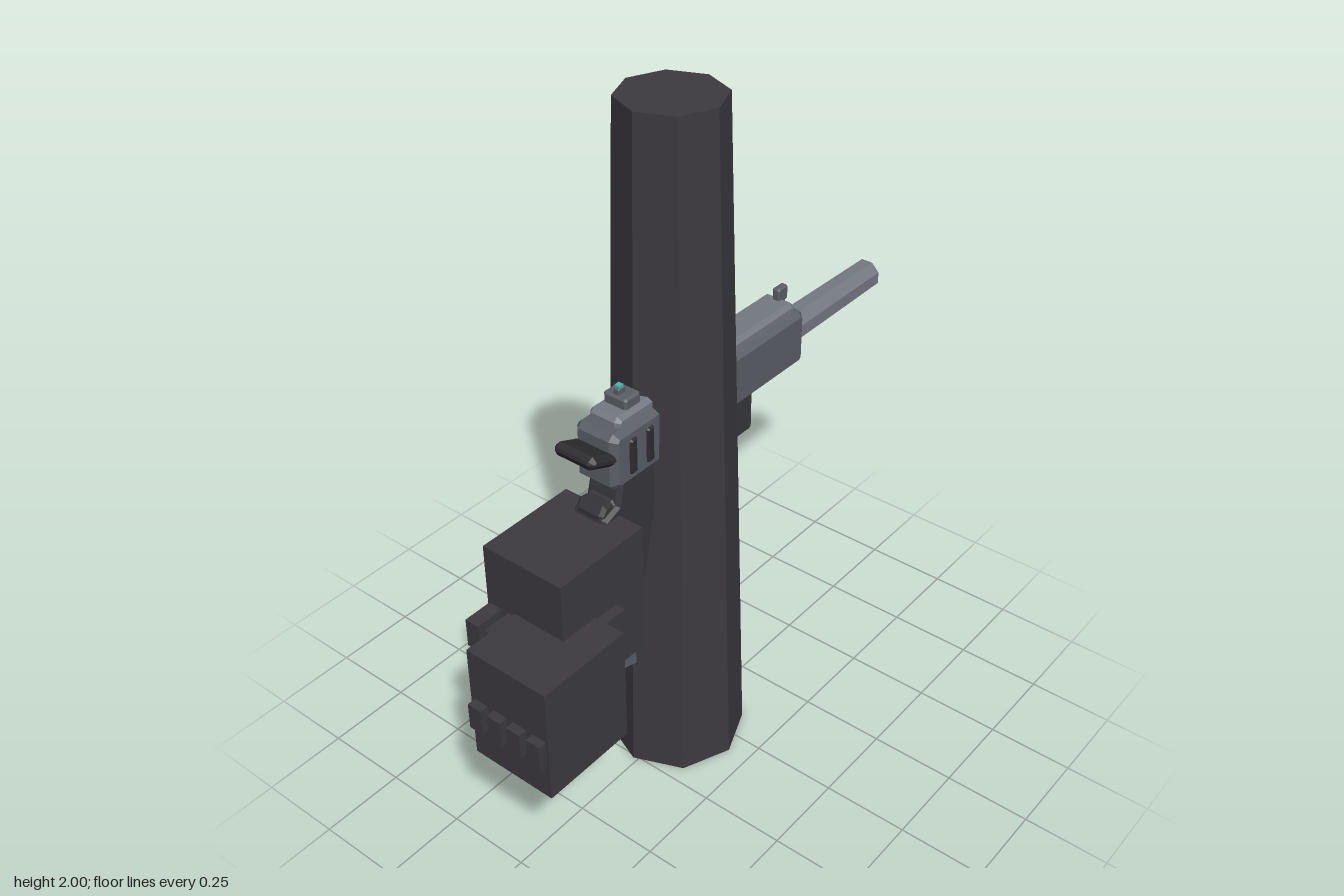
import * as THREE from 'three';

const mat = (name, color) => {
  const m = new THREE.MeshStandardMaterial({ color });
  m.name = name;
  return m;
};

export function createModel() {
  const root = new THREE.Group();
  root.name = 'pistolAndPillar';
  const stone = mat('charcoal', 0x3c3a3f);
  const grip = mat('dark grip', 0x36353a);
  const black = mat('near black', 0x2c2c30);
  const steel = mat('steel', 0x5a5f66);
  const pale = mat('pale steel', 0x747981);
  const teal = mat('teal', 0x4fb8ae);
  const CX = -0.017; // centre plane of the pistol

  const add = (parent, name, geometry, material) => {
    const mesh = new THREE.Mesh(geometry, material);
    mesh.name = name;
    parent.add(mesh);
    return mesh;
  };

  // Faceted cylinder
  const facets = (rTop, rBottom, h, turn = 0) => {
    const g = new THREE.CylinderGeometry(rTop, rBottom, h, 8).rotateY(turn).toNonIndexed();
    g.computeVertexNormals();
    return g;
  };

  // Side profile of [z, y] points, extruded across x with chamfered rims
  const profile = (points, width, bevel) => {
    const shape = new THREE.Shape(points.map(([z, y]) => new THREE.Vector2(z, y)));
    const depth = width - 2 * bevel;
    const g = new THREE.ExtrudeGeometry(shape, {
      depth, bevelEnabled: bevel > 0, bevelSize: bevel, bevelThickness: bevel,
      bevelOffset: -bevel, bevelSegments: 1,
    });
    return g.translate(0, 0, -depth / 2).rotateY(-Math.PI / 2);
  };

  // Box with cut corners, given by its z and y ranges
  const block = (z0, z1, y0, y1, width, c) => profile([
    [z0 + c, y0], [z1 - c, y0], [z1, y0 + c], [z1, y1 - c],
    [z1 - c, y1], [z0 + c, y1], [z0, y1 - c], [z0, y0 + c],
  ], width, c);

  // Plain box given by its ranges
  const box = (parent, name, [x0, x1], [y0, y1], [z0, z1], material) => {
    const m = add(parent, name, new THREE.BoxGeometry(x1 - x0, y1 - y0, z1 - z0), material);
    m.position.set((x0 + x1) / 2, (y0 + y1) / 2, (z0 + z1) / 2);
    return m;
  };

  // Tapered eight-sided pillar
  add(root, 'pillar', facets(0.14, 0.2, 2), stone).position.set(-0.015, 1, 0.06);

  // Pistol, pointing to the back
  const pistol = new THREE.Group();
  pistol.name = 'pistol';
  pistol.position.x = CX;
  root.add(pistol);

  const barrel = add(pistol, 'barrel', facets(0.046, 0.05, 0.445, Math.PI / 8), pale);
  barrel.rotation.x = -Math.PI / 2;
  barrel.position.set(0, 1.138, -0.6225);

  add(pistol, 'slide', block(-0.437, 0.372, 1.055, 1.225, 0.135, 0.017), steel);
  add(pistol, 'topRib', block(-0.41, 0.335, 1.19, 1.253, 0.1, 0.012), pale);
  add(pistol, 'underRail', block(-0.227, 0.2, 0.93, 1.08, 0.105, 0.015), grip);

  // Sights
  add(pistol, 'frontSightPost', block(-0.418, -0.39, 1.215, 1.28, 0.02, 0.003), steel);
  add(pistol, 'frontSightHead', block(-0.427, -0.383, 1.243, 1.288, 0.024, 0.005), steel);
  add(pistol, 'rearSight', block(0.23, 0.29, 1.24, 1.283, 0.075, 0.006), steel);
  add(pistol, 'rearSightPin', block(0.257, 0.283, 1.275, 1.3, 0.02, 0.003), steel);
  box(pistol, 'sightDot', [-0.008, 0.008], [1.298, 1.307], [0.262, 0.278], teal);

  // Dark grooves on both sides of the slide
  for (const z of [0.3, 0.235]) {
    add(pistol, 'slideGroove', block(z - 0.014, z + 0.014, 1.085, 1.192, 0.148, 0.006), black);
  }

  // Tilted cocking lever
  const lever = add(pistol, 'cockingLever', block(-0.06, 0.05, -0.018, 0.018, 0.132, 0.013), black);
  lever.position.set(0, 1.17, 0.405);
  lever.rotation.x = -0.38;

  // Raked handle with rear tang and base plate
  add(pistol, 'handle', profile([
    [0.33, 1.08], [0.08, 1.08], [0.16, 0.95], [0.205, 0.87],
    [0.29, 0.49], [0.525, 0.56], [0.4, 0.98], [0.35, 1.0],
  ], 0.11, 0.012), grip);
  add(pistol, 'handleTang', profile([
    [0.3, 0.95], [0.4, 0.95], [0.402, 0.99], [0.385, 1.015], [0.355, 1.01], [0.3, 1.03],
  ], 0.09, 0.01), grip);
  add(pistol, 'basePlate', profile([
    [0.305, 0.435], [0.295, 0.455], [0.302, 0.5], [0.315, 0.507],
    [0.52, 0.572], [0.532, 0.56], [0.532, 0.52], [0.52, 0.5],
  ], 0.135, 0.012), steel);

  // Teal inlays on both sides of the handle
  for (const s of [-1, 1]) {
    const inlay = add(pistol, 'handleInlay', profile([
      [0.3, 0.9], [0.36, 0.93], [0.36, 0.69],
    ], 0.008, 0), teal);
    inlay.position.x = s * 0.057;
  }

  // Rear blocky hand with finger stubs
  const rear = new THREE.Group();
  rear.name = 'rearHand';
  root.add(rear);
  box(rear, 'palm', [-0.145, 0.115], [0.578, 0.97], [0.345, 0.65], stone);
  for (let i = 0; i < 4; i++) {
    const x = -0.118 + i * 0.066;
    box(rear, 'finger', [x - 0.022, x + 0.022], [0.705, 0.79], [0.64, 0.735], stone);
  }
  box(rear, 'lowerStub', [-0.132, -0.05], [0.572, 0.68], [0.64, 0.688], stone);
  box(rear, 'thumb', [0.1, 0.145], [0.69, 0.79], [0.455, 0.6], stone);

  // Front blocky hand with finger stubs
  const front = new THREE.Group();
  front.name = 'frontHand';
  root.add(front);
  box(front, 'palm', [-0.05, 0.21], [0.455, 0.8], [0.533, 0.82], stone);
  for (let i = 0; i < 4; i++) {
    const x = -0.015 + i * 0.0655;
    box(front, 'finger', [x - 0.022, x + 0.022], [0.567, 0.645], [0.81, 0.845], stone);
  }

  return root;
}
